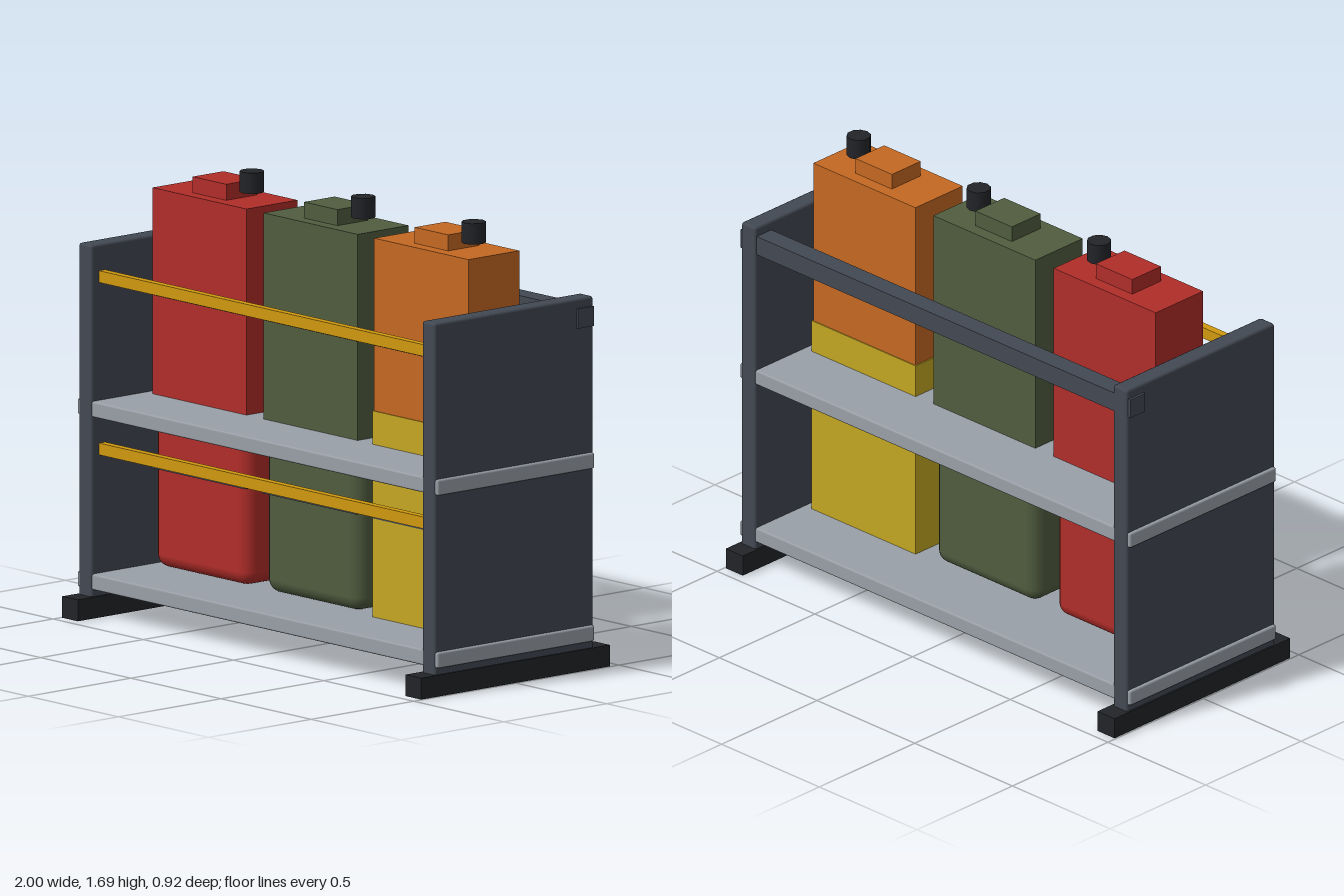
import * as THREE from 'three';
import { RoundedBoxGeometry } from 'three/addons/geometries/RoundedBoxGeometry.js';

const mat = (color) => new THREE.MeshStandardMaterial({ color });
const steel = mat(0x434953), shelfGrey = mat(0x9aa0a8), black = mat(0x222428), barYellow = mat(0xd0990f);
const red = mat(0xb02d29), green = mat(0x505c3f), orange = mat(0xc56822), yellow = mat(0xc4a723);

// Box given by its min/max on each axis; an optional radius rounds its edges
function box(parent, name, material, [x0, x1], [y0, y1], [z0, z1], radius = 0, segments = 1) {
  const size = [x1 - x0, y1 - y0, z1 - z0];
  const geometry = radius ? new RoundedBoxGeometry(...size, segments, radius) : new THREE.BoxGeometry(...size);
  const mesh = new THREE.Mesh(geometry, material);
  mesh.name = name;
  mesh.position.set((x0 + x1) / 2, (y0 + y1) / 2, (z0 + z1) / 2);
  parent.add(mesh);
  return mesh;
}

// Tall can with a separate lower body, top grip, cap and two front straps
function canister(name, x, upperMaterial, lowerMaterial, sleeve) {
  const can = new THREE.Group();
  can.name = name;
  can.position.x = x;
  const w = 0.261, d = 0.124;
  if (sleeve) {
    box(can, 'lowerBody', lowerMaterial, [-0.266, 0.266], [0.165, 0.935], [-0.128, 0.128]);
  } else {
    box(can, 'lowerBody', lowerMaterial, [-w, w], [0.165, 0.84], [-d, d], 0.05, 2);
  }
  box(can, 'upperBody', upperMaterial, [-w, w], [0.78, 1.58], [-d, d]);
  box(can, 'grip', upperMaterial, [-0.093, 0.093], [1.58, 1.64], [-0.075, 0.075]);
  for (const y of [0.55, 1.197]) {
    box(can, 'strap', steel, [-w, w], [y - 0.016, y + 0.016], [0.11, 0.131]);
  }
  const cap = new THREE.Mesh(new THREE.CylinderGeometry(0.045, 0.045, 0.078, 10), black);
  cap.name = 'cap';
  cap.position.set(0.15, 1.65, 0);
  can.add(cap);
  return can;
}

export function createModel() {
  const model = new THREE.Group();
  model.name = 'canisterRack';

  // Side panels on long feet
  for (const s of [-1, 1]) {
    const side = s < 0 ? 'right' : 'left';
    const range = (a, b) => (s < 0 ? [-b, -a] : [a, b]);
    box(model, side + 'Panel', steel, range(0.915, 0.988), [0.07, 1.393], [-0.387, 0.387], 0.01);
    box(model, side + 'Foot', black, range(0.908, 0.995), [0, 0.08], [-0.46, 0.46]);
  }

  // Shelves, with ends showing through the panels
  for (const y of [0.135, 0.78]) {
    box(model, 'shelf', shelfGrey, [-1, 1], [y - 0.03, y + 0.03], [-0.383, 0.383], 0.008);
  }

  // Rear tie bar and front retaining bars
  box(model, 'rearBar', steel, [-0.998, 0.998], [1.283, 1.357], [-0.38, -0.303]);
  for (const y of [0.628, 1.272]) {
    box(model, 'frontBar', barYellow, [-0.92, 0.92], [y - 0.022, y + 0.022], [0.32, 0.35]);
  }

  model.add(
    canister('redCanister', -0.616, red, red, false),
    canister('greenCanister', 0, green, green, false),
    canister('orangeCanister', 0.614, orange, yellow, true),
  );
  return model;
}
